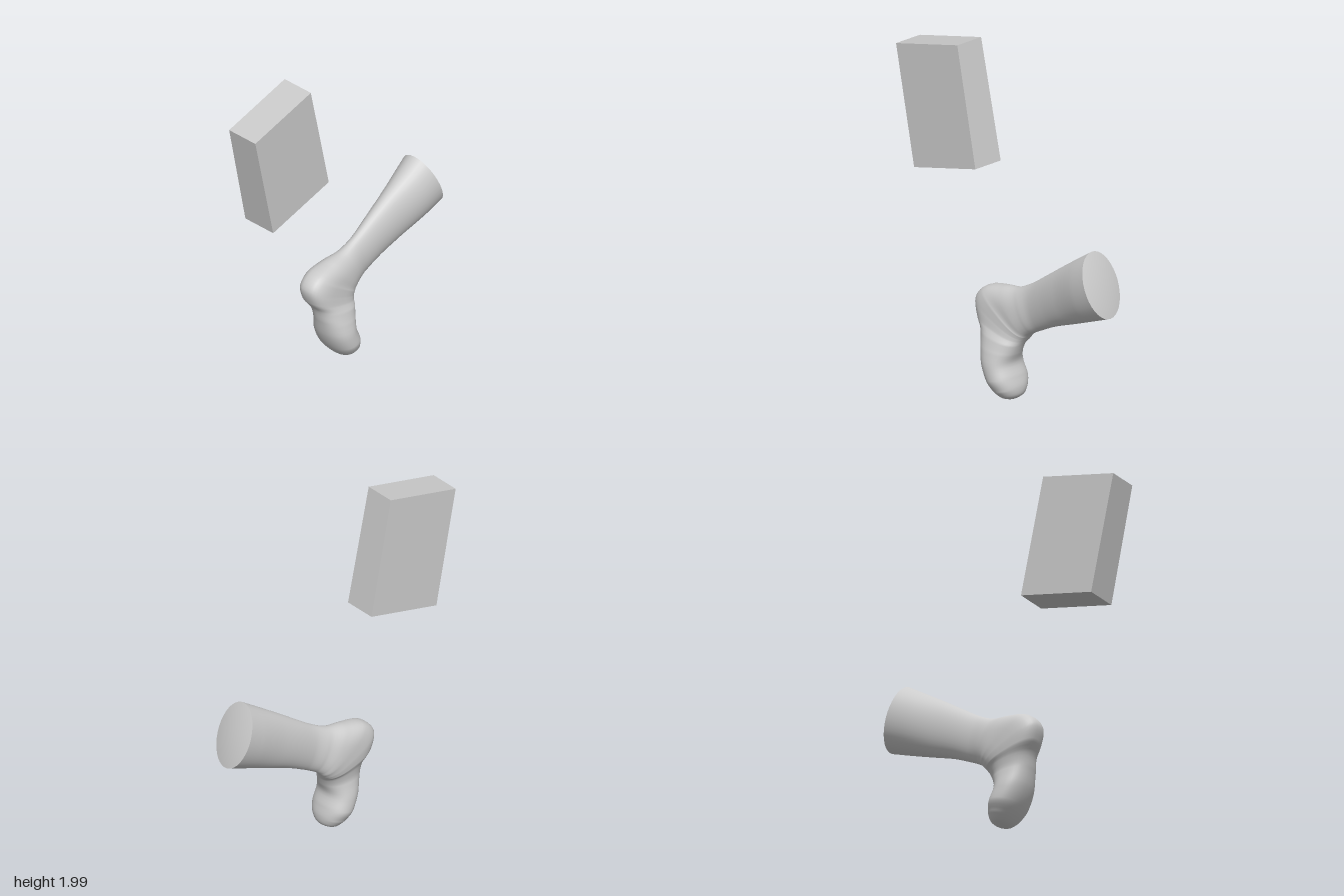
import * as THREE from 'three';
import { ParametricGeometry } from 'three/addons/geometries/ParametricGeometry.js';

// Cross-sections from shin to toe: outer x, y, inner x, y, z min, z max, roundness (1 = ellipse, less = boxier)
const SECTIONS = [
  [0.63, 1.0, 0.77, 0.64, -0.135, 0.13, 1],
  [0.55, 0.95, 0.65, 0.598, -0.122, 0.115, 1],
  [0.4, 0.855, 0.48, 0.538, -0.1, 0.075, 1],
  [0.27, 0.77, 0.34, 0.49, -0.09, 0.05, 1],
  [0.16, 0.7, 0.23, 0.44, -0.085, 0.036, 1],
  [0.06, 0.655, 0.17, 0.41, -0.1, 0.042, 0.95],
  [-0.05, 0.64, 0.14, 0.39, -0.122, 0.052, 0.85],
  [-0.18, 0.61, 0.125, 0.375, -0.13, 0.058, 0.72],
  [-0.235, 0.55, 0.115, 0.362, -0.13, 0.062, 0.72],
  [-0.22, 0.46, 0.105, 0.348, -0.125, 0.07, 0.75],
  [-0.178, 0.39, 0.095, 0.33, -0.11, 0.09, 0.85],
  [-0.16, 0.31, 0.077, 0.28, -0.105, 0.112, 0.9],
  [-0.135, 0.2, 0.06, 0.22, -0.122, 0.132, 0.9],
  [-0.095, 0.11, 0.085, 0.145, -0.13, 0.135, 0.9],
  [-0.05, 0.048, 0.1, 0.085, -0.105, 0.112, 0.9],
  [-0.01, 0.014, 0.094, 0.04, -0.07, 0.075, 0.95],
  [0.025, 0.004, 0.07, 0.018, -0.025, 0.03, 1],
  [0.046, 0.006, 0.05, 0.008, -0.002, 0.003, 1],
];

const railOf = (pick) =>
  new THREE.CatmullRomCurve3(SECTIONS.map((s) => new THREE.Vector3(...pick(s))));
const outer = railOf((s) => [s[0], s[1], 0]);
const inner = railOf((s) => [s[2], s[3], 0]);
const depth = railOf((s) => [s[4], s[5], s[6]]);

const soften = (value, power) => Math.sign(value) * Math.abs(value) ** power;

// Point on the leg skin: u runs from shin to toe, v runs around
function skinPoint(u, v, target) {
  const o = outer.getPoint(u);
  const i = inner.getPoint(u);
  const { x: zMin, y: zMax, z: power } = depth.getPoint(u);
  const angle = v * Math.PI * 2;
  const across = (1 + soften(Math.cos(angle), power)) / 2;
  target.lerpVectors(i, o, across);
  target.z = (zMin + zMax) / 2 + ((zMax - zMin) / 2) * soften(Math.sin(angle), power);
}

// Gently domed end closing the shin
function shinEndPoint(u, v, target) {
  skinPoint(0, v, target);
  const centre = new THREE.Vector3(0.7, 0.82, 0);
  const scale = 0.001 + 0.999 * u;
  target.sub(centre).multiplyScalar(scale).add(centre);
  const bulge = 0.015 * (1 - scale * scale);
  target.x += 0.93 * bulge;
  target.y += 0.37 * bulge;
}

// Tilted block, a little thinner towards its top
function blockGeometry() {
  const geometry = new THREE.BoxGeometry(0.47, 0.702, 0.205);
  const position = geometry.attributes.position;
  for (let i = 0; i < position.count; i++) {
    if (position.getY(i) > 0) position.setZ(i, position.getZ(i) * 0.94);
  }
  geometry.computeVertexNormals();
  return geometry;
}

export function createModel() {
  const group = new THREE.Group();
  const material = new THREE.MeshStandardMaterial({ color: 0xcccccc });
  const add = (name, geometry) => {
    const mesh = new THREE.Mesh(geometry, material);
    mesh.name = name;
    group.add(mesh);
    return mesh;
  };

  add('legAndFoot', new ParametricGeometry(skinPoint, 68, 36));
  add('shinEnd', new ParametricGeometry(shinEndPoint, 6, 36));

  const block = add('floatingBlock', blockGeometry());
  block.position.set(-0.472, 1.607, -0.025);
  block.rotation.z = 0.203;

  return group;
}
